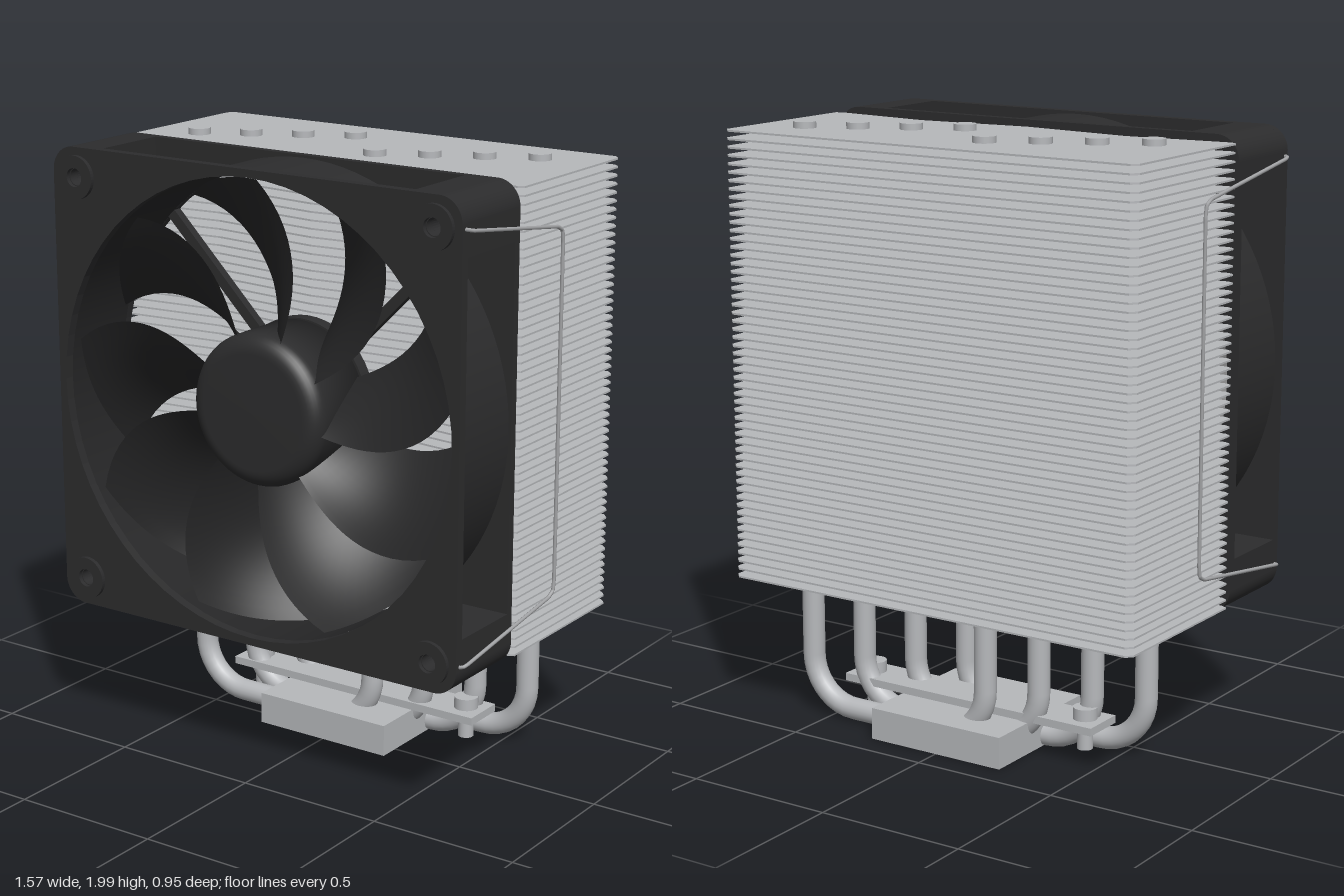
import * as THREE from 'three';

const material = (name, color, side = THREE.FrontSide) => {
  const m = new THREE.MeshStandardMaterial({ color, side });
  m.name = name;
  return m;
};

export function createModel() {
  const model = new THREE.Group();
  model.name = 'towerCooler';
  const metal = material('brushed metal', 0xb6b8bb);
  const steel = material('wire steel', 0xa2a3a5);
  const black = material('frame black', 0x2c2c2d);
  const bladeBlack = material('blade black', 0x262627, THREE.DoubleSide);

  const add = (parent, name, geometry, mat, x = 0, y = 0, z = 0) => {
    const mesh = new THREE.Mesh(geometry, mat);
    mesh.name = name;
    mesh.position.set(x, y, z);
    parent.add(mesh);
    return mesh;
  };
  const extrude = (shape, depth, curveSegments = 12) =>
    new THREE.ExtrudeGeometry(shape, { depth, bevelEnabled: false, curveSegments });
  const circle = (x, y, r) => new THREE.Path().absarc(x, y, r, 0, Math.PI * 2, true);

  // Stack of thin cooling fins with a shallow zigzag front edge
  const finShape = new THREE.Shape([
    [-0.765, -0.115], [-0.745, -0.125], [-0.39, -0.087], [0, -0.125], [0.39, -0.087], [0.745, -0.125],
    [0.765, -0.115], [0.765, 0.455], [0.745, 0.475], [-0.745, 0.475], [-0.765, 0.455],
  ].map(([x, y]) => new THREE.Vector2(x, y)));
  const finGeometry = extrude(finShape, 0.006).rotateX(-Math.PI / 2);
  const fins = new THREE.Group();
  fins.name = 'finStack';
  model.add(fins);
  const finCount = 56;
  for (let i = 0; i < finCount; i++) {
    add(fins, 'fin', finGeometry, metal, 0, 0.495 + (i * 1.478) / (finCount - 1), 0);
  }

  // Four U-shaped heat pipes, each shifted sideways and back from the last
  const bend = 0.165, low = 0.047, half = 0.3475;
  const v = (x, y, z = 0) => new THREE.Vector3(x, y, z);
  const pipePath = new THREE.CurvePath();
  pipePath.add(new THREE.LineCurve3(v(-half, 1.99), v(-half, low + bend)));
  const k = bend * 0.448;
  pipePath.add(new THREE.CubicBezierCurve3(v(-half, low + bend), v(-half, low + k),
    v(-half + k, low), v(-half + bend, low)));
  pipePath.add(new THREE.LineCurve3(v(-half + bend, low), v(half - bend, low)));
  pipePath.add(new THREE.CubicBezierCurve3(v(half - bend, low), v(half - k, low),
    v(half, low + k), v(half, low + bend)));
  pipePath.add(new THREE.LineCurve3(v(half, low + bend), v(half, 1.99)));
  const pipeGeometry = new THREE.TubeGeometry(pipePath, 150, 0.037, 20, false);
  const capGeometry = new THREE.CylinderGeometry(0.037, 0.037, 0.012, 20);
  for (let i = 0; i < 4; i++) {
    const x = -0.2325 + i * 0.155, z = -0.06 - i * 0.0765;
    add(model, 'heatPipe', pipeGeometry, metal, x, 0, z);
    for (const s of [-1, 1]) add(model, 'pipeCap', capGeometry, metal, x + s * half, 1.994, z);
  }

  // Contact base, mounting bar and its screws
  add(model, 'contactBase', new THREE.BoxGeometry(0.5, 0.106, 0.485), metal, 0, 0.065, -0.17);
  add(model, 'mountingBar', new THREE.BoxGeometry(0.97, 0.026, 0.15), metal, 0, 0.132, -0.168);
  for (const s of [-1, 1]) {
    add(model, 'screwHead', new THREE.CylinderGeometry(0.04, 0.04, 0.04, 20), metal, s * 0.418, 0.164, -0.168);
    add(model, 'screwShaft', new THREE.CylinderGeometry(0.026, 0.026, 0.085, 20), metal, s * 0.418, 0.086, -0.168);
  }

  // Fan, built around its own axis
  const fan = new THREE.Group();
  fan.name = 'fan';
  fan.position.y = 1.235;
  model.add(fan);

  // Front and rear flanges: rounded squares with a large opening and screw holes
  const E = 0.765, R = 0.08, H = 0.67;
  const flange = new THREE.Shape();
  flange.absarc(E - R, E - R, R, 0, Math.PI / 2);
  flange.absarc(R - E, E - R, R, Math.PI / 2, Math.PI);
  flange.absarc(R - E, R - E, R, Math.PI, Math.PI * 1.5);
  flange.absarc(E - R, R - E, R, Math.PI * 1.5, Math.PI * 2);
  flange.closePath();
  flange.holes.push(circle(0, 0, 0.74));
  for (const sx of [-1, 1]) for (const sy of [-1, 1]) flange.holes.push(circle(sx * H, sy * H, 0.027));
  add(fan, 'frontFlange', extrude(flange, 0.032, 32), black, 0, 0, 0.427);
  add(fan, 'rearFlange', extrude(flange, 0.027, 32), black, 0, 0, 0.138);

  // Round duct between the flanges
  const ring = (outer, inner) => {
    const shape = new THREE.Shape().absarc(0, 0, outer, 0, Math.PI * 2);
    shape.holes.push(circle(0, 0, inner));
    return shape;
  };
  add(fan, 'duct', new THREE.CylinderGeometry(0.757, 0.757, 0.264, 96, 1, true).rotateX(Math.PI / 2),
    black, 0, 0, 0.296);
  const ductInside = new THREE.CylinderGeometry(0.74, 0.74, 0.264, 96, 1, true).rotateX(Math.PI / 2);
  add(fan, 'ductInside', ductInside.scale(-1, 1, 1), bladeBlack, 0, 0, 0.296);

  // Solid corner posts and rubber pads around the screw holes
  const post = new THREE.Shape();
  post.moveTo(0.585, 0.585);
  post.lineTo(E, 0.585);
  post.absarc(E - R, E - R, R, 0, Math.PI / 2);
  post.lineTo(0.585, E);
  post.closePath();
  post.holes.push(circle(H, H, 0.027));
  const postGeometry = extrude(post, 0.264);
  const padGeometry = extrude(ring(0.07, 0.03), 0.016, 24);
  for (let i = 0; i < 4; i++) {
    const a = (i * Math.PI) / 2;
    add(fan, 'cornerPost', postGeometry, black, 0, 0, 0.164).rotation.z = a;
    const p = a + Math.PI / 4, d = H * Math.SQRT2;
    add(fan, 'cornerPad', padGeometry, black, d * Math.cos(p), d * Math.sin(p), 0.457);
    // Rear struts holding the motor
    const strut = add(fan, 'motorStrut', new THREE.BoxGeometry(0.54, 0.035, 0.03), black,
      0.48 * Math.cos(p), 0.48 * Math.sin(p), 0.154);
    strut.rotation.z = p;
  }
  add(fan, 'motorMount', new THREE.CylinderGeometry(0.25, 0.25, 0.045, 48).rotateX(Math.PI / 2),
    black, 0, 0, 0.161);

  // Hub with a softly rounded front edge
  const hubProfile = [new THREE.Vector2(0, 0.19), new THREE.Vector2(0.247, 0.19)];
  for (let i = 0; i <= 8; i++) {
    const a = (i / 8) * Math.PI / 2;
    hubProfile.push(new THREE.Vector2(0.187 + 0.06 * Math.cos(a), 0.39 + 0.055 * Math.sin(a)));
  }
  hubProfile.push(new THREE.Vector2(0, 0.449));
  add(fan, 'hub', new THREE.LatheGeometry(hubProfile, 64).rotateX(Math.PI / 2), black);

  // Nine swept, pitched blades
  const bladeGeometry = new THREE.PlaneGeometry(1, 1, 12, 16);
  const pos = bladeGeometry.attributes.position;
  for (let i = 0; i < pos.count; i++) {
    const u = pos.getX(i) + 0.5, t = pos.getY(i) + 0.5;
    const r = 0.22 + 0.506 * t;
    const lead = -17 + 21 * Math.pow(t, 2.2);
    const a = THREE.MathUtils.degToRad(lead - u * 34);
    const z = 0.2 + 0.21 * u + 0.025 * Math.sin(u * Math.PI);
    pos.setXYZ(i, r * Math.cos(a), r * Math.sin(a), z);
  }
  bladeGeometry.computeVertexNormals();
  for (let i = 0; i < 9; i++) {
    add(fan, 'blade', bladeGeometry, bladeBlack).rotation.z = THREE.MathUtils.degToRad(4 + i * 40 - 4);
  }

  // Bent wire clips holding the fan on both sides
  for (const s of [-1, 1]) {
    const points = [[0.72, 1.905, 0.44], [0.775, 1.905, 0.44], [0.781, 1.9, 0.42], [0.781, 1.83, -0.06],
      [0.781, 1.815, -0.088], [0.781, 1.78, -0.093], [0.781, 0.69, -0.093], [0.781, 0.655, -0.088],
      [0.781, 0.64, -0.06], [0.781, 0.57, 0.42], [0.775, 0.565, 0.44], [0.72, 0.565, 0.44],
    ].map(([x, y, z]) => v(s * x, y, z));
    const path = new THREE.CurvePath();
    for (let i = 1; i < points.length; i++) path.add(new THREE.LineCurve3(points[i - 1], points[i]));
    add(model, s > 0 ? 'leftClip' : 'rightClip', new THREE.TubeGeometry(path, 240, 0.006, 8, false), steel);
  }
  return model;
}
